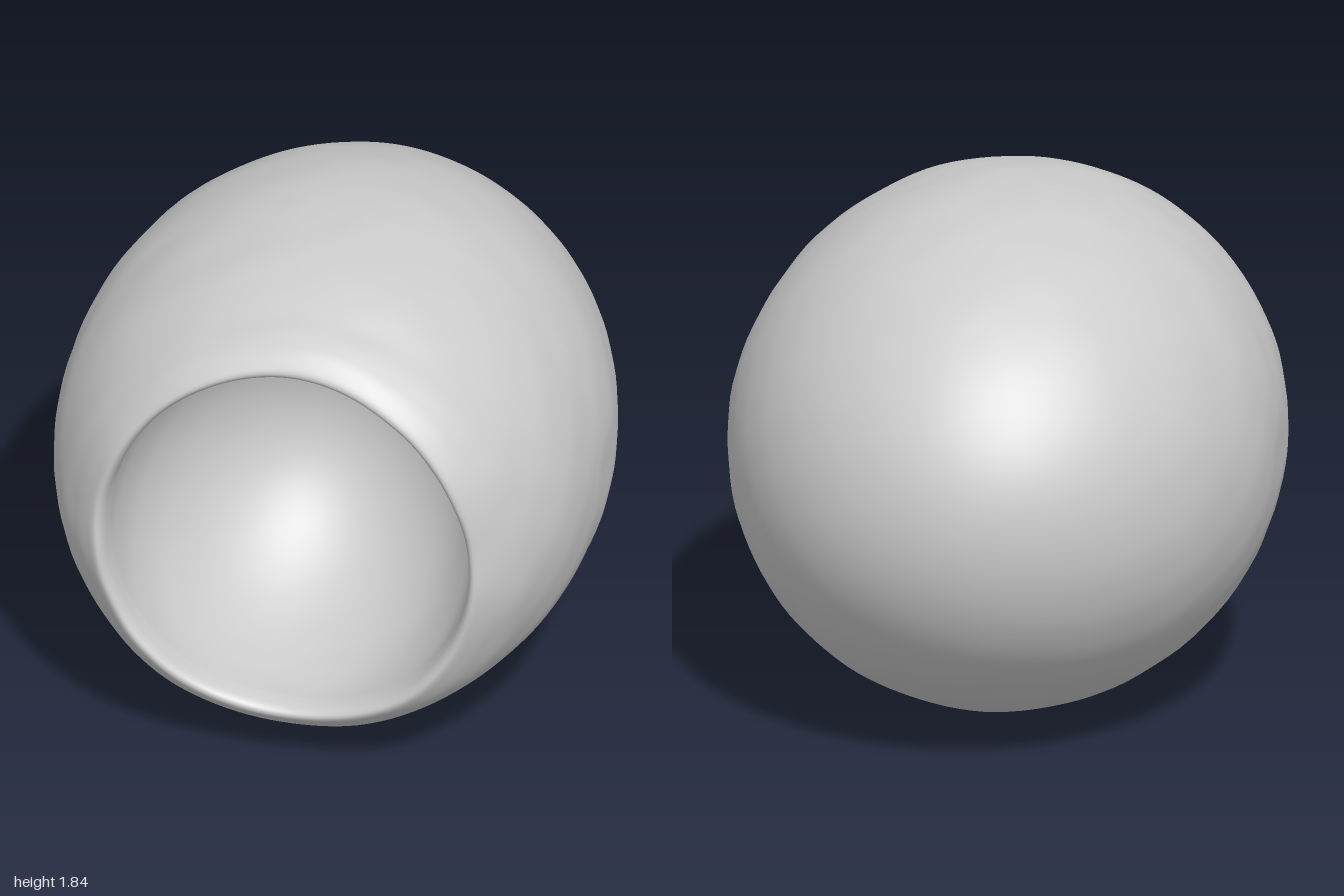
import * as THREE from 'three';
import { mergeVertices } from 'three/addons/utils/BufferGeometryUtils.js';

const HALF_WIDTH = 0.955, HALF_HEIGHT = 0.92;

// Unit-radius profile along the egg's axis: outer skin, rounded lip, bowl-shaped hollow
function shellProfile() {
  const points = [];
  const outerSteps = 36, innerSteps = 36;
  for (let i = 0; i < outerSteps; i++) {
    const a = (i / outerSteps) * Math.PI / 2;
    points.push(new THREE.Vector2(Math.sin(a), 0.2 - 1.2 * Math.cos(a)));
  }
  const front = new THREE.SplineCurve([
    [1, 0.2], [0.985, 0.4], [0.945, 0.6], [0.87, 0.79], [0.795, 0.9], [0.74, 0.96],
    [0.7, 0.988], [0.675, 0.965], [0.665, 0.9],
  ].map(([r, z]) => new THREE.Vector2(r, z)));
  points.push(...front.getPoints(56));
  for (let i = 1; i <= innerSteps; i++) {
    const a = (i / innerSteps) * Math.PI / 2;
    points.push(new THREE.Vector2(0.665 * Math.cos(a), 0.9 - 0.88 * Math.sin(a)));
  }
  points[0].x = points[points.length - 1].x = 0;
  return points;
}

// Soft hand-worked unevenness of the surface
function unevenness(x, y, z) {
  return 0.0025 * Math.sin(11 * x + 5 * y + 3) * Math.sin(13 * z + 4 * y)
    + 0.0015 * Math.sin(23 * y - 9 * x) * Math.sin(25 * z + 7 * x);
}

export function createModel() {
  const group = new THREE.Group();
  group.name = 'hollowEgg';

  let geometry = new THREE.LatheGeometry(shellProfile(), 128);
  geometry.rotateX(Math.PI / 2);
  geometry.deleteAttribute('uv');
  geometry.deleteAttribute('normal');
  geometry = mergeVertices(geometry, 1e-4);

  const pos = geometry.attributes.position;
  for (let i = 0; i < pos.count; i++) {
    let x = pos.getX(i), y = pos.getY(i), z = pos.getZ(i);
    const r = Math.hypot(x, y);
    const across = r > 0 ? (x / r) ** 2 : 0;
    const nearRim = THREE.MathUtils.smoothstep(z, 0.65, 0.985);
    const inHollow = r < 0.69 && z > 0;
    // The opening is taller than wide, and its lip dips at top and bottom
    const widen = 1 + 0.085 * (inHollow ? 1 : nearRim ** 2) * (1 - across);
    const lipWave = 0.005 * Math.sin(9 * Math.atan2(y, x)) * across;
    z -= nearRim * (0.06 * (1 - across) ** 3 + lipWave);
    const k = widen * (1.008 + unevenness(x, y, z));
    // Slightly flattened at its widest points
    x = THREE.MathUtils.clamp(x * HALF_WIDTH * k, -HALF_WIDTH, HALF_WIDTH);
    y = THREE.MathUtils.clamp(y * HALF_HEIGHT * k, -HALF_HEIGHT, HALF_HEIGHT);
    pos.setXYZ(i, x, y + HALF_HEIGHT, z);
  }
  geometry.computeVertexNormals();

  const shell = new THREE.Mesh(geometry, new THREE.MeshStandardMaterial({ color: 0xcccccc }));
  shell.name = 'eggShell';
  group.add(shell);
  return group;
}
